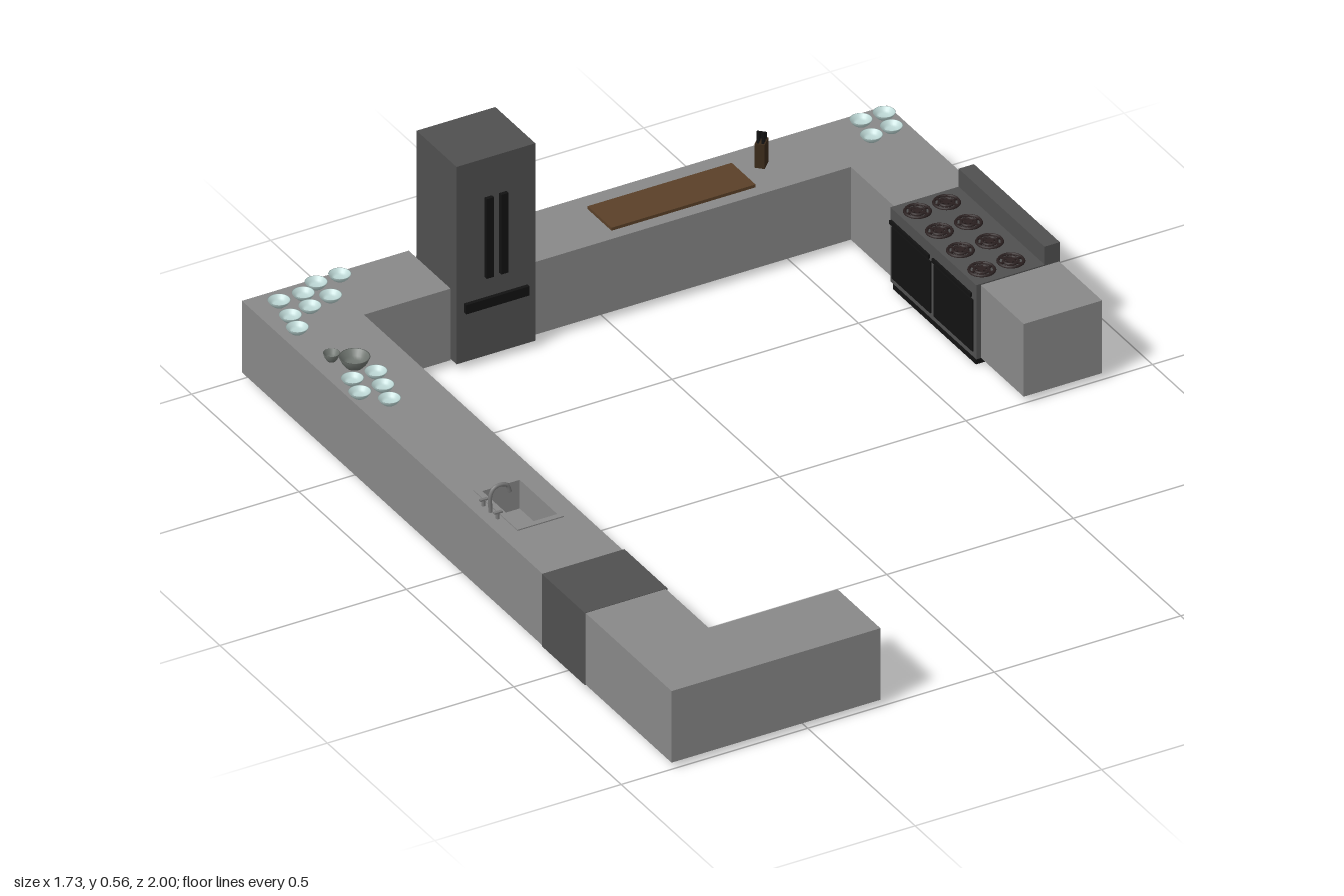
import * as THREE from 'three';

const mat = (color) => new THREE.MeshStandardMaterial({ color, side: THREE.DoubleSide });
const M = {
  counter: mat(0x888888), steel: mat(0x505050), black: mat(0x121212), burner: mat(0x2a2020),
  wood: mat(0x5a4028), darkWood: mat(0x3a2a1a), dish: mat(0xbcd6d4), pot: mat(0x6f7570), chrome: mat(0x777777),
};
const BASE = 0.02, TOP = 0.215;

export function createModel() {
  const root = new THREE.Group();
  const group = (name, parent = root) => {
    const g = new THREE.Group();
    g.name = name;
    parent.add(g);
    return g;
  };
  const add = (name, geo, material, parent = root, x = 0, y = 0, z = 0) => {
    const m = new THREE.Mesh(geo, material);
    m.name = name;
    m.position.set(x, y, z);
    parent.add(m);
    return m;
  };
  // box from min/max limits on each axis
  const box = (name, material, x0, x1, y0, y1, z0, z1, parent) =>
    add(name, new THREE.BoxGeometry(x1 - x0, y1 - y0, z1 - z0), material, parent,
      (x0 + x1) / 2, (y0 + y1) / 2, (z0 + z1) / 2);
  // floor plan outline (x, z) raised from y0 to y1
  const slab = (name, pts, y0, y1, parent, hole) => {
    const outline = (p) => p.map(([x, z]) => new THREE.Vector2(x, -z));
    const shape = new THREE.Shape(outline(pts));
    if (hole) shape.holes.push(new THREE.Path(outline(hole)));
    const geo = new THREE.ExtrudeGeometry(shape, { depth: y1 - y0, bevelEnabled: false });
    geo.rotateX(-Math.PI / 2);
    return add(name, geo, M.counter, parent, 0, y0, 0);
  };
  const rect = (x0, x1, z0, z1) => [[x0, z0], [x1, z0], [x1, z1], [x0, z1]];

  // Counters: one run with the sink recess, one with the stove
  const counters = group('counters');
  const leftPlan = [[-0.865, -1], [-0.418, -1], [-0.418, -0.805], [-0.65, -0.805],
    [-0.65, 0.8], [-0.305, 0.8], [-0.305, 1], [-0.865, 1]];
  slab('sinkCounterLower', leftPlan, BASE, 0.14, counters);
  slab('sinkCounterUpper', leftPlan, 0.14, TOP, counters, rect(-0.805, -0.705, 0.015, 0.19));
  slab('stoveCounter', [[-0.202, -1], [0.865, -1], [0.865, 0], [0.655, 0],
    [0.655, -0.805], [-0.202, -0.805]], BASE, TOP + 0.003, counters);

  // Sink rim and tap
  const sink = group('sink');
  slab('sinkRim', rect(-0.82, -0.695, 0, 0.205), TOP, TOP + 0.003, sink, rect(-0.805, -0.705, 0.015, 0.19));
  const spout = new THREE.CatmullRomCurve3([[-0.832, 0.215], [-0.832, 0.26], [-0.822, 0.277],
    [-0.805, 0.281], [-0.788, 0.275], [-0.78, 0.255]].map(([x, y]) => new THREE.Vector3(x, y, 0.1)));
  add('tapSpout', new THREE.TubeGeometry(spout, 24, 0.005, 10), M.chrome, sink);
  for (const z of [0.067, 0.133]) {
    add('tapHandleStem', new THREE.CylinderGeometry(0.004, 0.005, 0.016, 10), M.chrome, sink, -0.832, 0.223, z);
    box('tapHandleLever', M.chrome, -0.842, -0.82, 0.229, 0.233, z - 0.004, z + 0.004, sink);
  }

  // Dishwasher
  const dishwasher = group('dishwasher');
  box('dishwasherBody', M.steel, -0.867, -0.646, BASE - 0.001, TOP + 0.001, 0.4, 0.6, dishwasher);
  box('dishwasherHandle', M.black, -0.646, -0.635, 0.155, 0.175, 0.402, 0.598, dishwasher);

  // Fridge
  const fridge = group('fridge');
  box('fridgeBody', M.steel, -0.415, -0.204, BASE, 0.558, -0.968, -0.782, fridge);
  box('fridgeBackPanel', M.counter, -0.415, -0.204, 0.14, TOP, -0.972, -0.968, fridge);
  for (const x of [-0.33, -0.291]) {
    box('doorHandle', M.black, x - 0.01, x + 0.01, 0.235, 0.452, -0.782, -0.772, fridge);
  }
  box('drawerHandle', M.black, -0.395, -0.225, 0.155, 0.18, -0.782, -0.772, fridge);

  // Stove with two oven doors and eight burners
  const stove = group('stove');
  box('stoveBody', M.steel, 0.643, 0.867, BASE - 0.001, 0.221, -0.6, -0.2, stove);
  box('stoveBacksplash', M.steel, 0.826, 0.867, 0.221, 0.27, -0.6, -0.2, stove);
  box('stoveFoot', M.black, 0.645, 0.76, 0.002, BASE, -0.592, -0.205, stove);
  for (const [z0, z1] of [[-0.588, -0.408], [-0.392, -0.212]]) {
    box('ovenDoor', M.black, 0.639, 0.643, 0.035, 0.175, z0, z1, stove);
    box('ovenHandle', M.black, 0.633, 0.639, 0.185, 0.195, z0, z1, stove);
  }
  for (const x of [0.688, 0.766]) {
    for (const z of [-0.552, -0.45, -0.352, -0.253]) {
      const burner = group('burner', stove);
      burner.position.set(x, 0.222, z);
      for (const r of [0.03, 0.017]) {
        add('burnerRing', new THREE.TorusGeometry(r, 0.004, 6, 24), M.burner, burner).rotation.x = Math.PI / 2;
      }
      add('burnerCap', new THREE.CylinderGeometry(0.009, 0.009, 0.006, 16), M.burner, burner);
      for (let i = 0; i < 3; i++) {
        add('burnerGrate', new THREE.BoxGeometry(0.064, 0.006, 0.005), M.burner, burner).rotation.y = i * Math.PI / 3;
      }
    }
  }

  // Shallow dishes in three clusters
  const bowl = (r, h) => new THREE.LatheGeometry([[0, 0], [0.55, 0], [0.8, 0.4], [1, 1], [0.92, 1],
    [0.7, 0.45], [0.5, 0.2], [0, 0.2]].map(([a, b]) => new THREE.Vector2(a * r, b * h)), 24);
  const dishes = group('dishes');
  const dishGeo = bowl(0.027, 0.015);
  const spots = [
    [-0.80, -0.94], [-0.735, -0.94], [-0.685, -0.967], [-0.62, -0.97], [-0.685, -0.9], [-0.75, -0.883],
    [-0.81, -0.87], [-0.823, -0.815],
    [-0.825, -0.555], [-0.762, -0.555], [-0.84, -0.495], [-0.778, -0.495], [-0.795, -0.435],
    [0.77, -0.957], [0.832, -0.957], [0.757, -0.886], [0.817, -0.897],
  ];
  for (const [x, z] of spots) add('dish', dishGeo, M.dish, dishes, x, TOP + (x > 0 ? 0.003 : 0), z);

  // Metal mixing bowls
  add('largeBowl', bowl(0.037, 0.027), M.pot, root, -0.783, TOP, -0.618);
  add('smallBowl', bowl(0.02, 0.02), M.pot, root, -0.816, TOP, -0.668);

  // Cutting board and knife block
  box('cuttingBoard', M.wood, 0.032, 0.418, TOP, 0.226, -0.948, -0.837);
  const block = group('knifeBlock');
  block.position.set(0.481, TOP, -0.918);
  block.rotation.y = -Math.PI / 4;
  box('block', M.darkWood, -0.012, 0.012, 0, 0.068, -0.018, 0.018, block);
  for (const x of [-0.006, 0.006]) {
    for (const [i, z] of [-0.011, 0, 0.011].entries()) {
      box('knifeHandle', M.black, x - 0.003, x + 0.003, 0.068, 0.085 + 0.007 * i, z - 0.003, z + 0.003, block);
    }
  }
  return root;
}
